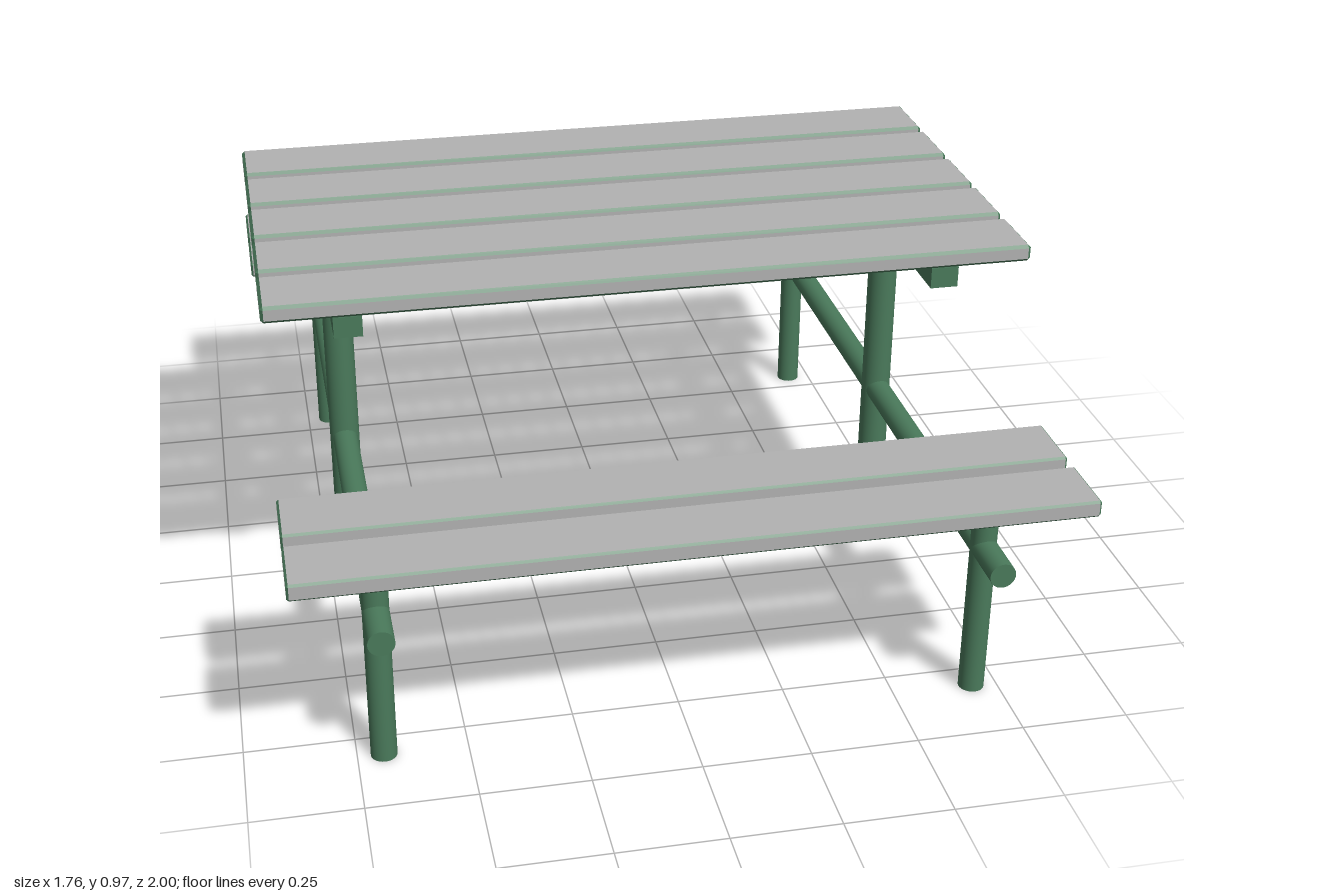
import * as THREE from 'three';

const grey = new THREE.MeshStandardMaterial({ color: 0xb2b2b2 });
grey.name = 'greyBoard';
const green = new THREE.MeshStandardMaterial({ color: 0x4a7a5b });
green.name = 'greenFrame';

// Box with chamfered edges: group 0 = flat faces, group 1 = chamfers
function chamferedBox(w, h, d, c) {
  const half = [w / 2, h / 2, d / 2];
  const pos = [];
  // Corner point lying on the face perpendicular to the given axis
  const corner = (axis, s) => new THREE.Vector3(
    ...half.map((v, i) => s[i] * (i === axis ? v : v - c)));
  const tri = (p, q, r) => {
    const n = q.clone().sub(p).cross(r.clone().sub(p));
    const outward = n.dot(p.clone().add(q).add(r)) > 0;
    for (const v of outward ? [p, q, r] : [p, r, q]) pos.push(v.x, v.y, v.z);
  };
  const quad = (p, q, r, s) => { tri(p, q, r); tri(p, r, s); };
  const signs = (a, sa, b, sb, e, se) => {
    const s = [0, 0, 0];
    s[a] = sa; s[b] = sb; s[e] = se;
    return s;
  };
  const pm = [-1, 1];
  // Flat faces
  for (let a = 0; a < 3; a++) for (const sa of pm) {
    const b = (a + 1) % 3, e = (a + 2) % 3;
    quad(...[[-1, -1], [1, -1], [1, 1], [-1, 1]].map(
      ([sb, se]) => corner(a, signs(a, sa, b, sb, e, se))));
  }
  const faceCount = pos.length / 3;
  // Edge chamfers
  for (let a = 0; a < 3; a++) for (const sa of pm) for (const sb of pm) {
    const b = (a + 1) % 3, e = (a + 2) % 3;
    const s0 = signs(a, sa, b, sb, e, -1), s1 = signs(a, sa, b, sb, e, 1);
    quad(corner(a, s0), corner(b, s0), corner(b, s1), corner(a, s1));
  }
  // Corner triangles
  for (const x of pm) for (const y of pm) for (const z of pm) {
    tri(...[0, 1, 2].map(a => corner(a, [x, y, z])));
  }
  const g = new THREE.BufferGeometry();
  g.setAttribute('position', new THREE.Float32BufferAttribute(pos, 3));
  g.addGroup(0, faceCount, 0);
  g.addGroup(faceCount, pos.length / 3 - faceCount, 1);
  g.computeVertexNormals();
  return g;
}

export function createModel() {
  const model = new THREE.Group();
  model.name = 'picnicTable';

  const add = (parent, name, geometry, material, x, y, z) => {
    const mesh = new THREE.Mesh(geometry, material);
    mesh.name = name;
    mesh.position.set(x, y, z);
    parent.add(mesh);
    return mesh;
  };

  // Table top: five boards
  const tableTop = new THREE.Group();
  tableTop.name = 'tableTop';
  const tableBoard = chamferedBox(1.76, 0.04, 0.17, 0.007);
  for (let i = -2; i <= 2; i++) {
    add(tableTop, 'tableBoard', tableBoard, [grey, green], 0, 0.947, i * 0.2);
  }
  model.add(tableTop);

  // Benches: two boards on each side
  const benchBoard = chamferedBox(1.76, 0.04, 0.16, 0.005);
  for (const side of [1, -1]) {
    const bench = new THREE.Group();
    bench.name = side > 0 ? 'frontBench' : 'backBench';
    for (const z of [0.72, 0.92]) {
      add(bench, 'benchBoard', benchBoard, [grey, green], 0, 0.562, side * z);
    }
    model.add(bench);
  }

  // Frames: posts, tie rail and table bearer at each end
  const tablePost = new THREE.CylinderGeometry(0.036, 0.036, 0.87, 32);
  const benchPost = new THREE.CylinderGeometry(0.03, 0.03, 0.53, 32);
  const tieRail = new THREE.CylinderGeometry(0.03, 0.03, 1.89, 32).rotateX(Math.PI / 2);
  const bearer = new THREE.BoxGeometry(0.065, 0.05, 0.885);
  for (const side of [1, -1]) {
    const frame = new THREE.Group();
    frame.name = side > 0 ? 'leftFrame' : 'rightFrame';
    const x = side * 0.69;
    add(frame, 'tablePost', tablePost, green, x, 0.435, 0);
    add(frame, 'tieRail', tieRail, green, x, 0.38, 0);
    add(frame, 'tableBearer', bearer, green, x, 0.884, 0);
    for (const z of [0.815, -0.815]) {
      add(frame, 'benchPost', benchPost, green, x, 0.265, z);
    }
    model.add(frame);
  }

  return model;
}
